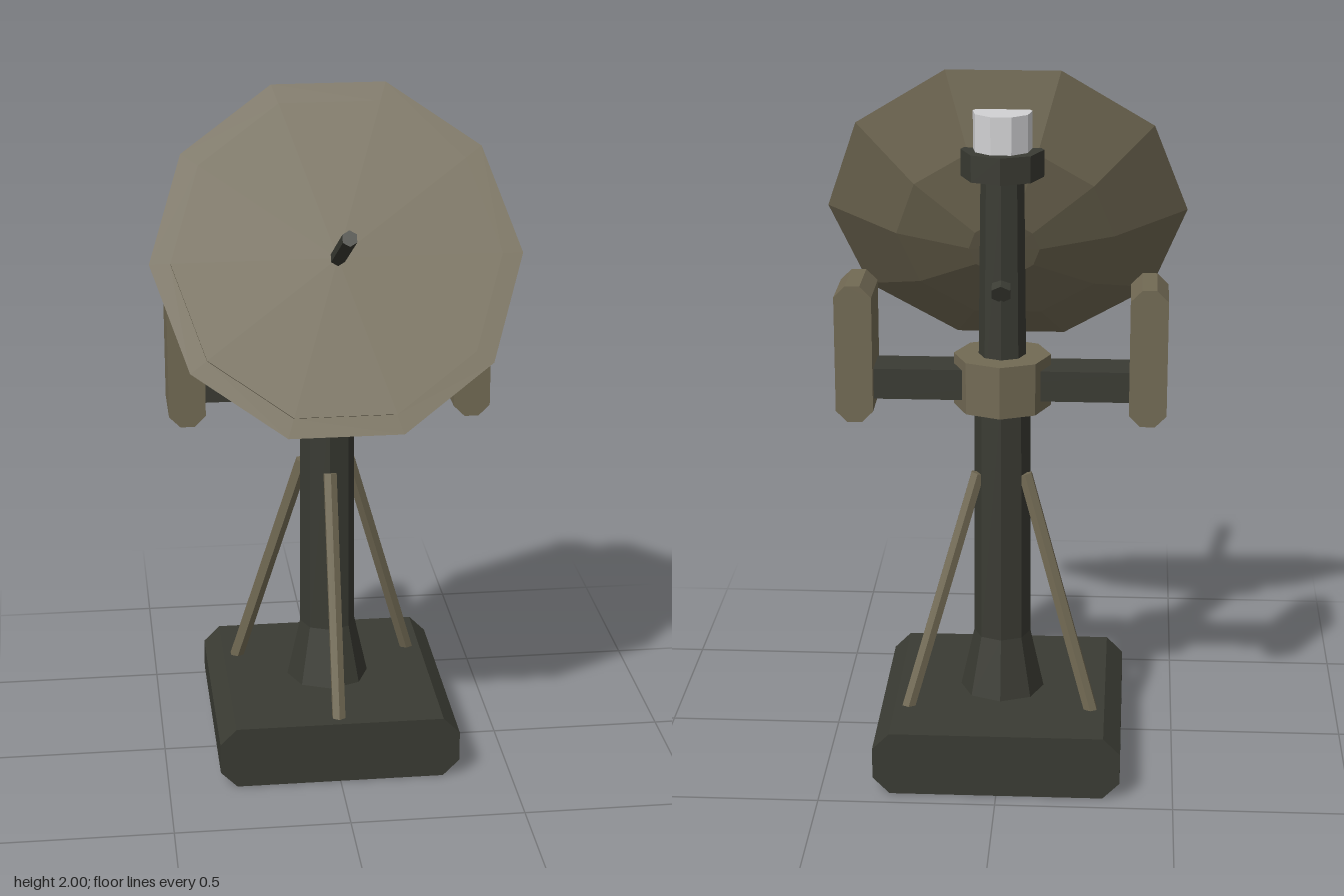
import * as THREE from 'three';

const mat = (name, color) => {
  const m = new THREE.MeshStandardMaterial({ color, flatShading: true });
  m.name = name;
  return m;
};

export function createModel() {
  const root = new THREE.Group();
  root.name = 'radarMast';
  const dark = mat('dark olive metal', 0x3a3b33);
  const khaki = mat('khaki paint', 0x726a54);
  const light = mat('light grey', 0xd2d2d4);
  const MZ = -0.095; // mast axis depth

  const add = (name, geo, material, x = 0, y = 0, z = 0, parent = root) => {
    const mesh = new THREE.Mesh(geo, material);
    mesh.name = name;
    mesh.position.set(x, y, z);
    parent.add(mesh);
    return mesh;
  };

  // upright prism on the mast axis between two heights
  const column = (name, r0, r1, y0, y1, sides, material) =>
    add(name, new THREE.CylinderGeometry(r1, r0, y1 - y0, sides), material, 0, (y0 + y1) / 2, MZ);

  // straight rod between two points
  const rod = (name, a, b, r, sides, material, parent = root) => {
    const dir = b.clone().sub(a);
    const mesh = add(name, new THREE.CylinderGeometry(r, r, dir.length(), sides), material, 0, 0, 0, parent);
    mesh.position.copy(a).add(b).multiplyScalar(0.5);
    mesh.quaternion.setFromUnitVectors(new THREE.Vector3(0, 1, 0), dir.normalize());
    return mesh;
  };

  // block with its four front-outline corners cut off
  const chamferBlock = (w, h, d, c) => {
    const x = w / 2, y = h / 2;
    const s = new THREE.Shape([
      [-x + c, -y], [x - c, -y], [x, -y + c], [x, y - c],
      [x - c, y], [-x + c, y], [-x, y - c], [-x, -y + c],
    ].map(([px, py]) => new THREE.Vector2(px, py)));
    return new THREE.ExtrudeGeometry(s, { depth: d, bevelEnabled: false }).translate(0, 0, -d / 2);
  };

  // base and mast
  add('base', chamferBlock(0.7, 0.185, 0.7, 0.048), dark, 0, 0.0925, MZ);
  column('mastFoot', 0.122, 0.082, 0.18, 0.36, 8, dark);
  column('lowerMast', 0.082, 0.079, 0.36, 1.1, 8, dark);
  column('upperMast', 0.068, 0.06, 1.1, 1.74, 8, dark);
  column('mastClamp', 0.137, 0.137, 1.055, 1.205, 8, khaki);
  column('topCollar', 0.115, 0.115, 1.715, 1.79, 8, dark);
  column('beacon', 0.083, 0.083, 1.78, 1.895, 9, light);

  // three braces around the mast
  for (let i = 0; i < 3; i++) {
    const a = (i * Math.PI * 2) / 3;
    const at = (r, y) => new THREE.Vector3(Math.sin(a) * r, y, MZ + Math.cos(a) * r);
    rod('brace', at(0.31, 0.16), at(0.078, 0.86), 0.021, 6, khaki);
  }

  // cross arm with a panel at each end
  add('crossArm', new THREE.BoxGeometry(0.74, 0.088, 0.124), dark, 0, 1.13, -0.098);
  for (const s of [-1, 1]) {
    add('sidePanel', chamferBlock(0.105, 0.395, 0.182, 0.032), khaki, s * 0.4105, 1.2225, -0.097);
  }

  // tilted dish, built along its own +z axis
  const dish = new THREE.Group();
  dish.name = 'dishAssembly';
  dish.position.set(0, 1.563, 0.162);
  dish.rotation.x = -0.4636;
  root.add(dish);
  const profile = [
    [0, -0.182], [0.1, -0.18], [0.31, -0.12], [0.515, 0],
    [0.457, 0], [0.457, 0.008], [0, 0.008],
  ].map(([r, y]) => new THREE.Vector2(r, y));
  const dishGeo = new THREE.LatheGeometry(profile, 10).rotateY(Math.PI / 2).rotateX(Math.PI / 2);
  add('dish', dishGeo, khaki, 0, 0, 0, dish);
  const onAxis = (z) => new THREE.Vector3(0, 0, z);
  rod('feedRod', onAxis(0), onAxis(0.306), 0.022, 6, dark, dish);
  rod('dishMount', onAxis(-0.37), onAxis(-0.15), 0.03, 6, dark, dish);

  return root;
}
